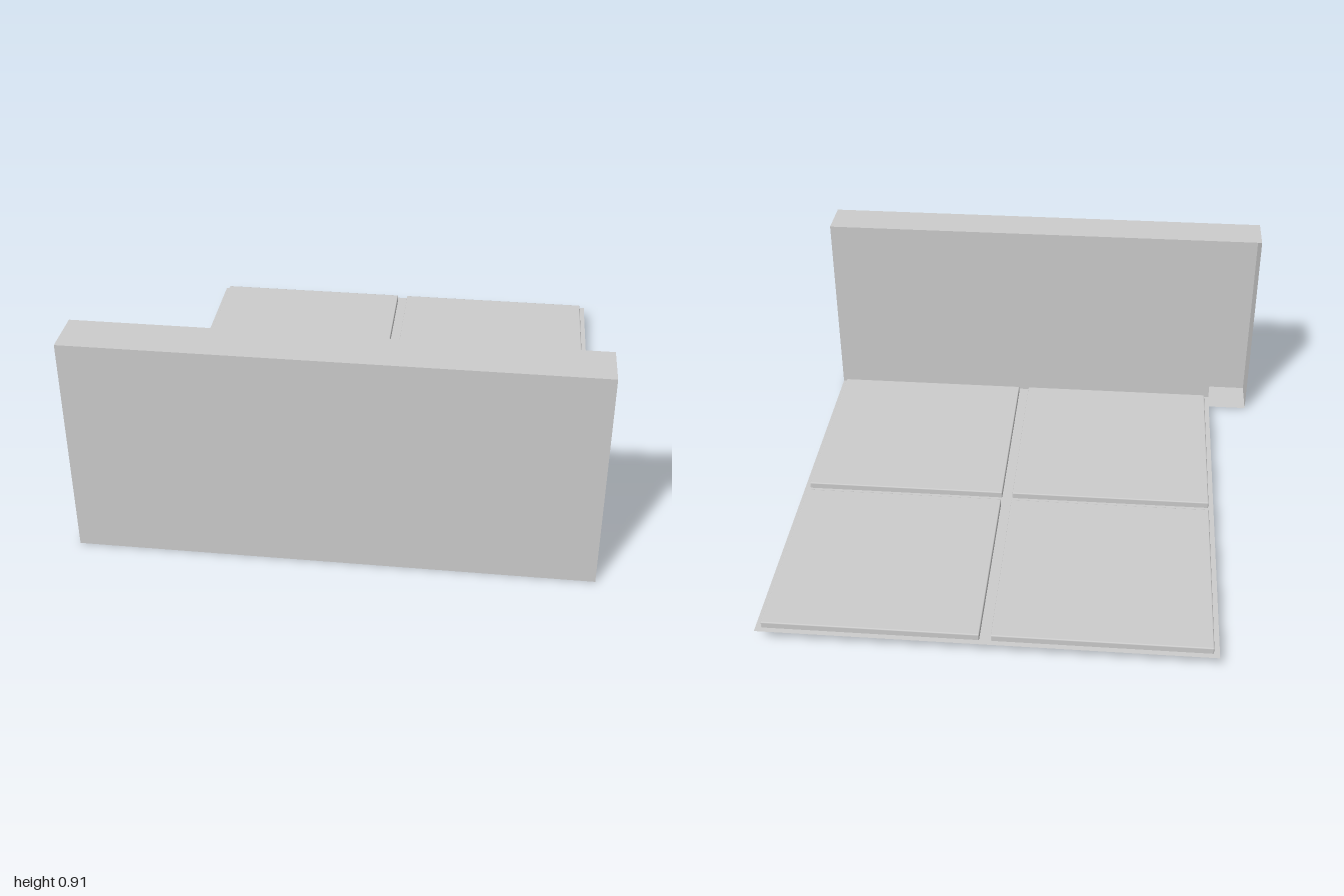
import * as THREE from 'three';
import { RoundedBoxGeometry } from 'three/addons/geometries/RoundedBoxGeometry.js';

const U = 2 / 11; // one module: the wall is 11 long, 5 high and 1 deep

export function createModel() {
  const model = new THREE.Group();
  const solid = new THREE.MeshStandardMaterial({ color: 0xcccccc });
  const sheet = new THREE.MeshStandardMaterial({ color: 0xcccccc, side: THREE.DoubleSide });

  // Thin rectangular panel, placed by its centre
  function panel(name, parent, w, h, x, y, z, rx = 0, ry = 0) {
    const mesh = new THREE.Mesh(new THREE.PlaneGeometry(w, h), sheet);
    mesh.name = name;
    mesh.position.set(x, y, z);
    mesh.rotation.set(rx, ry, 0);
    parent.add(mesh);
  }

  // Hollow wall: open at its +x end and where another wall would join at the -x corner
  const wall = new THREE.Group();
  wall.name = 'wall';
  const height = 5 * U, zMid = 1 - U / 2, q = Math.PI / 2;
  panel('wallFront', wall, 2, height, 0, height / 2, 1);
  panel('wallBack', wall, 10 * U, height, U / 2, height / 2, 1 - U, 0, Math.PI);
  panel('wallTop', wall, 2, U, 0, height, zMid, -q);
  panel('wallBottom', wall, 2, U, 0, 0, zMid, q);
  panel('wallEnd', wall, U, height, -1, height / 2, zMid, 0, -q);
  model.add(wall);

  // Floor: a thin sheet with four tiles set into it
  const floor = new THREE.Group();
  floor.name = 'floor';
  panel('floorSheet', floor, 10 * U, 10 * U, U / 2, 0.3 * U, -U / 2, -q);
  const tileGeometry = new RoundedBoxGeometry(4.75 * U, 0.2 * U, 4.75 * U, 2, 0.005);
  for (const i of [-1, 1]) {
    for (const j of [-1, 1]) {
      const tile = new THREE.Mesh(tileGeometry, solid);
      tile.name = 'floorTile';
      tile.position.set(U / 2 + i * 2.5 * U, 0.35 * U, -U / 2 + j * 2.5 * U);
      floor.add(tile);
    }
  }
  model.add(floor);
  return model;
}
